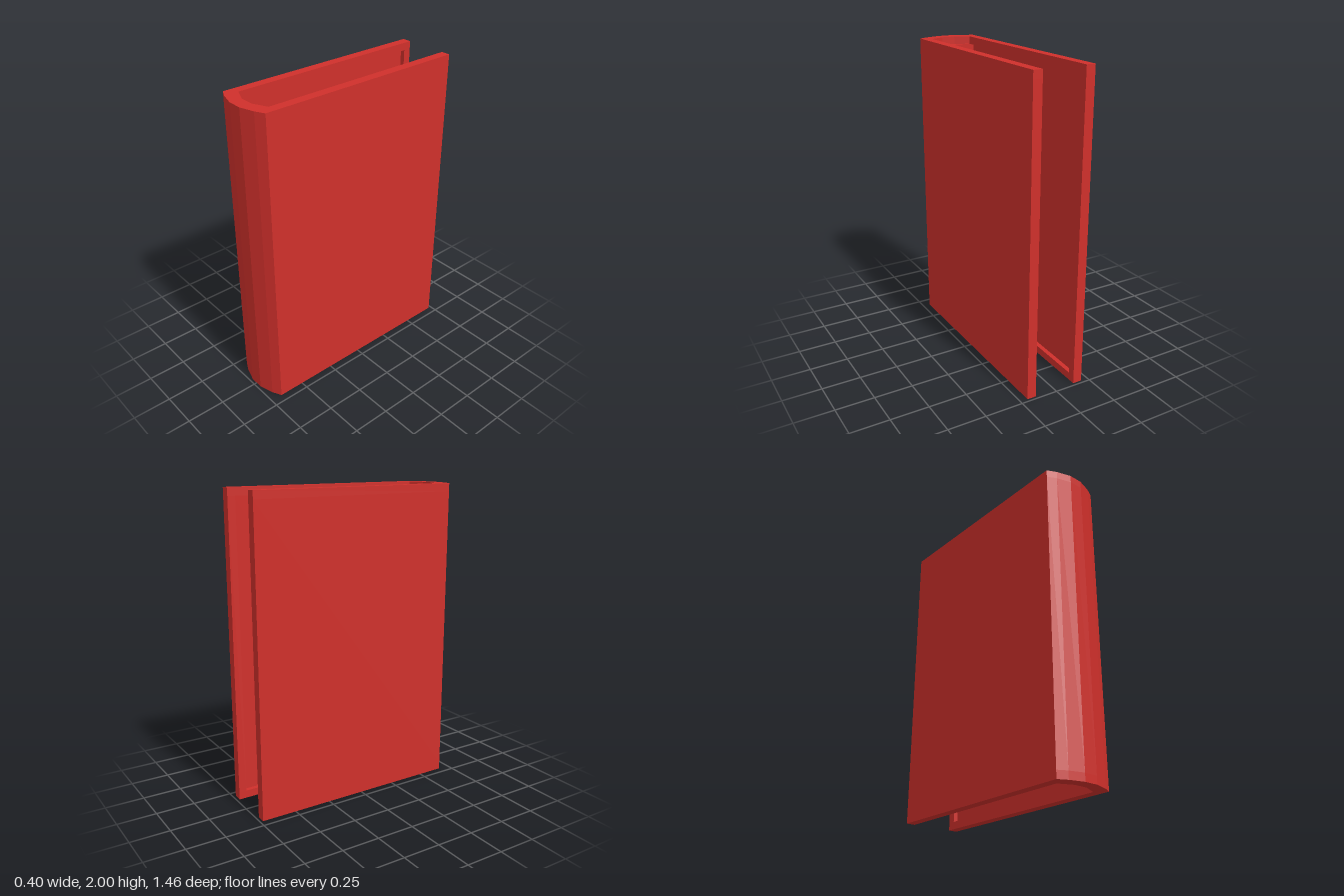
import * as THREE from 'three';

const HEIGHT = 2, RIM = 0.05;
const BACK = -0.73;      // open edge of the covers
const HALF = 0.2;        // outer half width
const INNER = 0.14;      // inner half width at the raised rim
const POCKET = 0.17;     // inner half width of the recessed panels
const SEAT = 0.61;       // flat inner wall of the spine

// Outline from half a profile of [x, z] points, mirrored across x = 0
function mirroredShape(half) {
  const other = half.map(([x, z]) => [-x, z]).reverse();
  return new THREE.Shape([...half, ...other].map(([x, z]) => new THREE.Vector2(x, z)));
}

export function createModel() {
  const group = new THREE.Group();
  group.name = 'bookCover';
  const material = new THREE.MeshStandardMaterial({ color: 0xd0302b, flatShading: true });

  // Rounded spine and outer cover faces, from the spine centre to the back edge
  const outer = [[0.045, 0.73], [INNER, 0.702], [HALF, 0.672], [HALF, BACK]];

  // Rim follows the spine curve inside; the body has recessed panels and a flat spine wall
  const rim = mirroredShape([...outer, [INNER, BACK], [INNER, SEAT], [0.045, 0.652]]);
  const body = mirroredShape([
    ...outer, [INNER, BACK], [INNER, BACK + RIM], [POCKET, BACK + RIM], [POCKET, SEAT],
  ]);

  // Stack one horizontal slice of the cover between two heights
  const addSlice = (name, shape, y0, y1) => {
    const geometry = new THREE.ExtrudeGeometry(shape, { depth: y1 - y0, bevelEnabled: false });
    geometry.rotateX(Math.PI / 2).translate(0, y1, 0);
    const mesh = new THREE.Mesh(geometry, material);
    mesh.name = name;
    group.add(mesh);
  };

  addSlice('bottomRim', rim, 0, RIM);
  addSlice('coversAndSpine', body, RIM, HEIGHT - RIM);
  addSlice('topRim', rim, HEIGHT - RIM, HEIGHT);
  return group;
}
